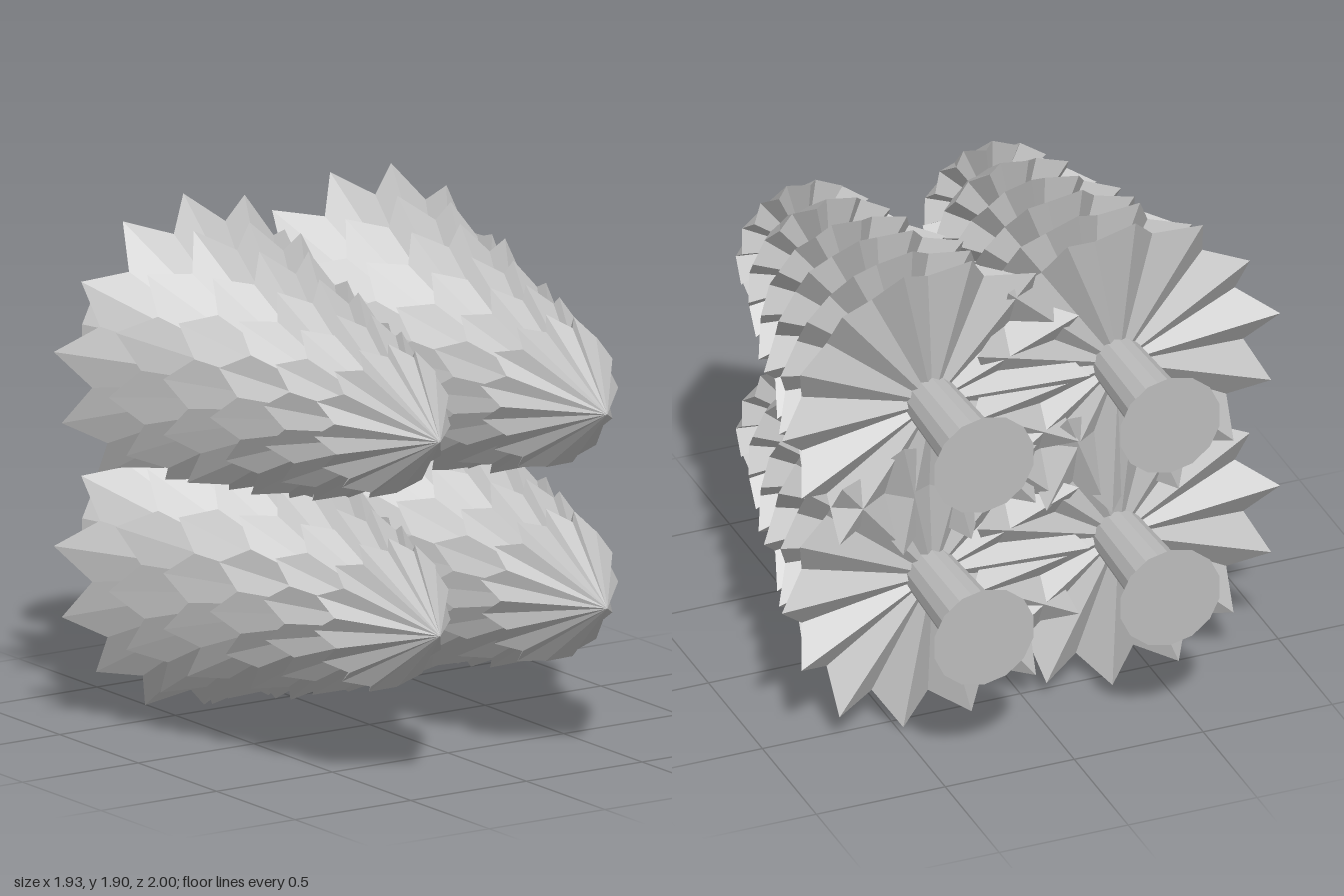
import * as THREE from 'three';

const POINTS = 14;
const STEP = (Math.PI * 2) / POINTS;

// Small seeded generator for slightly irregular branch tips
function seeded(seed) {
  return () => {
    seed = (seed * 16807) % 2147483647;
    return seed / 2147483647;
  };
}

// One tier: a pointed cone along +z with a zigzag rim and a pleated underside
function tierGeometry(radius, notchRadius, rimZ, height, phase, random) {
  const rim = [];
  for (let i = 0; i < POINTS * 2; i++) {
    const isTip = i % 2 === 0;
    const angle = phase + (i * STEP) / 2;
    const r = isTip ? radius * (0.965 + random() * 0.055) : notchRadius;
    const z = isTip ? rimZ + random() * 0.012 : rimZ + 0.095;
    rim.push([Math.cos(angle) * r, Math.sin(angle) * r, z]);
  }
  const apex = [0, 0, rimZ + height];
  const under = [0, 0, rimZ + 0.05];
  const positions = [];
  rim.forEach((a, i) => {
    const b = rim[(i + 1) % rim.length];
    positions.push(...apex, ...a, ...b, ...under, ...b, ...a);
  });
  const geometry = new THREE.BufferGeometry();
  geometry.setAttribute('position', new THREE.Float32BufferAttribute(positions, 3));
  geometry.computeVertexNormals();
  return geometry;
}

// Tiers from the top of the tree to the widest one: rim z, radius, height
const TIERS = [
  [0.6, 0.285, 0.4],
  [0.365, 0.35, 0.52],
  [0.13, 0.41, 0.54],
  [-0.105, 0.475, 0.56],
  [-0.34, 0.54, 0.57],
  [-0.575, 0.605, 0.57],
];

function makeTree(phase, seed, material) {
  const tree = new THREE.Group();
  const random = seeded(seed);

  // Foliage tiers, each staggered by half a point
  TIERS.forEach(([z, radius, height], i) => {
    const notch = radius * (0.89 - i * 0.012);
    const turn = phase + (i % 2 === 0 ? STEP / 2 : 0);
    const tier = new THREE.Mesh(tierGeometry(radius, notch, z, height, turn, random), material);
    tier.name = 'foliageTier' + (i + 1);
    tree.add(tier);
  });

  // Trunk section running along z, from zFront (thin) to zBack
  const addTrunk = (name, rFront, rBack, zFront, zBack) => {
    const geometry = new THREE.CylinderGeometry(rFront, rBack, zFront - zBack, POINTS);
    geometry.rotateX(Math.PI / 2);
    const mesh = new THREE.Mesh(geometry, material);
    mesh.position.z = (zFront + zBack) / 2;
    mesh.name = name;
    tree.add(mesh);
  };
  addTrunk('trunk', 0.098, 0.115, -0.5, -0.91);
  addTrunk('trunkFlare', 0.115, 0.197, -0.91, -1);
  return tree;
}

export function createModel() {
  const model = new THREE.Group();
  const grey = new THREE.MeshStandardMaterial({ color: 0xbbbbbb });
  grey.name = 'plain grey';
  grey.flatShading = true;

  // Four trees lying on their sides, stacked two by two
  const columns = [
    { name: 'left', x: 0.35, phase: 0 },
    { name: 'right', x: -0.372, phase: 0.3 },
  ];
  const rows = [
    { name: 'Lower', y: 0.592 },
    { name: 'Upper', y: 1.308 },
  ];
  rows.forEach((row, j) => {
    columns.forEach((column, i) => {
      const tree = makeTree(column.phase, 101 + i * 57, grey);
      tree.name = column.name + row.name + 'Tree';
      tree.position.set(column.x, row.y, 0);
      model.add(tree);
    });
  });
  return model;
}
